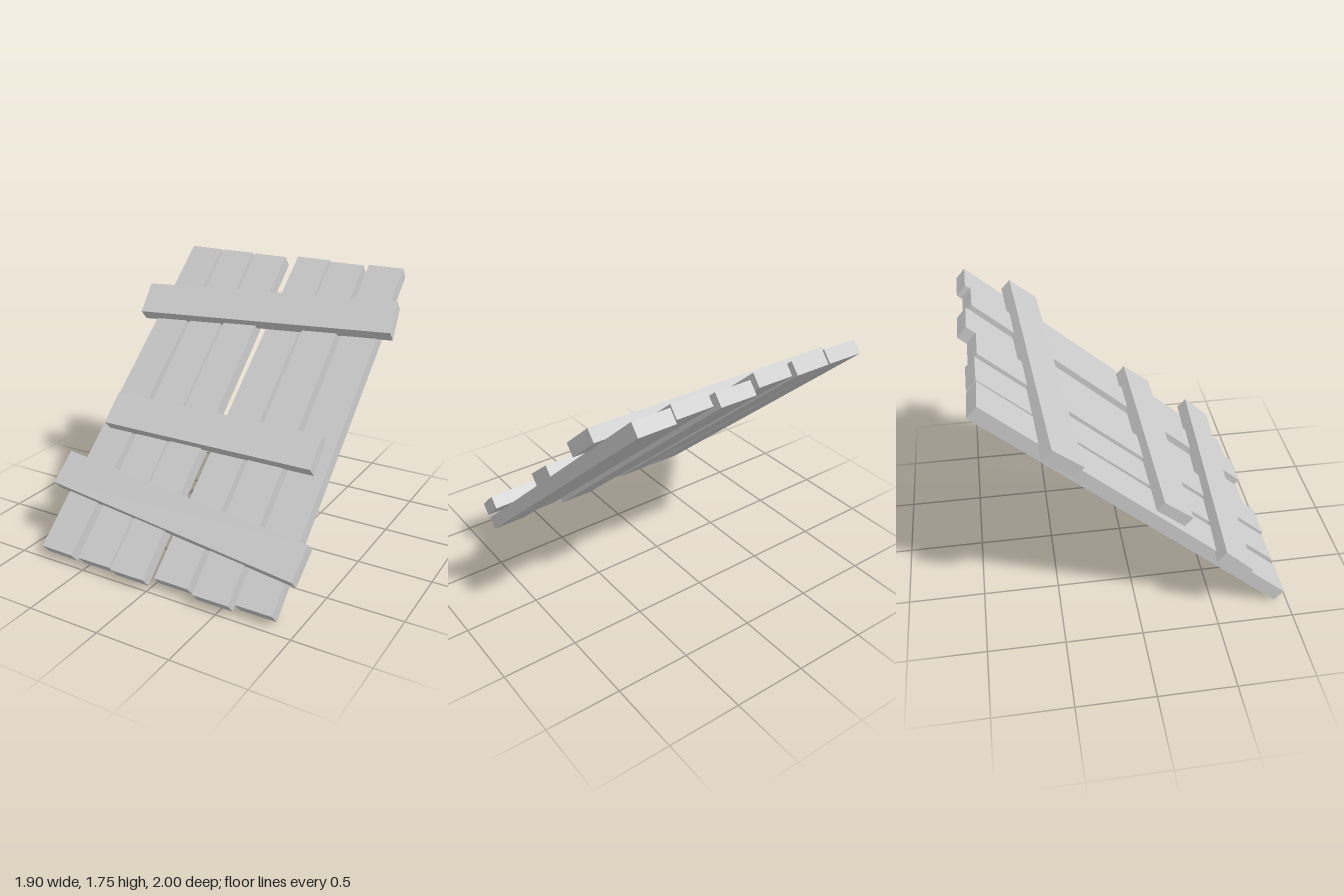
import * as THREE from 'three';

const V = (x, y, z) => new THREE.Vector3(x, y, z);

export function createModel() {
  const model = new THREE.Group();
  model.name = 'leaningPlankPanel';
  const material = new THREE.MeshStandardMaterial({ color: 0xcccccc, flatShading: true });

  // Slightly skewed board: front face's upper left corner, edge to the right, edge downhill, edge into depth
  function board(name, corner, across, down, depth) {
    const centre = corner.clone()
      .addScaledVector(across, 0.5).addScaledVector(down, 0.5).addScaledVector(depth, 0.5);
    const basis = new THREE.Matrix4()
      .makeBasis(across, down.clone().negate(), depth.clone().negate());
    const mesh = new THREE.Mesh(new THREE.BoxGeometry(1, 1, 1).applyMatrix4(basis), material);
    mesh.position.copy(centre);
    mesh.name = name;
    model.add(mesh);
  }

  // Six long planks: [top left x, top z, sideways drift down the slope]
  const planks = [
    [-0.815, -0.9, -0.035],
    [-0.552, -0.897, 0.007],
    [-0.275, -0.882, 0],
    [0.045, -0.94, -0.025],
    [0.318, -0.9, 0.007],
    [0.592, -0.936, 0.01],
  ];
  planks.forEach(([x, z, drift], i) => {
    board(`plank${i + 1}`, V(x, 1.755, z), V(0.248, 0, -0.248 * drift / 1.88),
      V(drift, -1.685, 1.88), V(0, -0.07, -0.06));
  });

  // Three crooked crosspieces nailed over the planks
  const depth = V(0, -0.066, -0.06);
  board('upperCrosspiece', V(-0.955, 1.525, -0.52), V(1.875, 0.08, -0.118), V(0.03, -0.168, 0.18), depth);
  board('middleCrosspiece', V(-0.785, 0.907, 0.16), V(1.557, 0, -0.008), V(0.01, -0.158, 0.187), depth);
  board('lowerCrosspiece', V(-0.93, 0.57, 0.535), V(1.87, -0.13, 0.14), V(-0.013, -0.165, 0.18), depth);

  return model;
}
